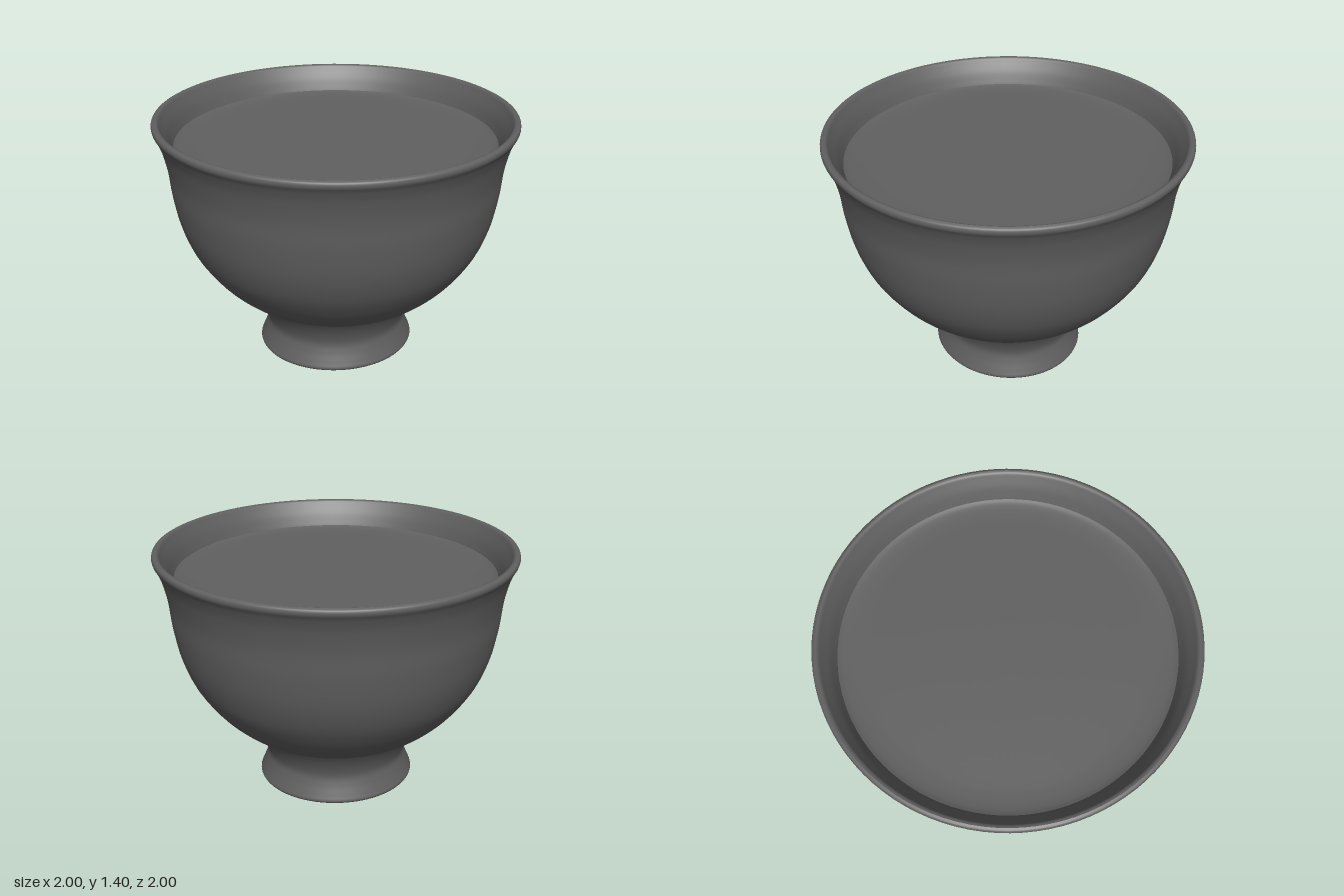
import * as THREE from 'three';

// Revolve a smooth curve through a few profile points.
function turned(name, points, material, steps = 60) {
  const curve = new THREE.SplineCurve(points.map(([r, y]) => new THREE.Vector2(r, y)));
  const mesh = new THREE.Mesh(new THREE.LatheGeometry(curve.getPoints(steps), 96), material);
  mesh.name = name;
  return mesh;
}

export function createModel() {
  const group = new THREE.Group();
  group.name = 'footedBowl';
  const clay = new THREE.MeshStandardMaterial({ color: 0x606060 });
  clay.name = 'dark grey clay';

  // Rounded outer wall with a flared lip
  const wall = turned('bowlWall', [
    [0.40, 0.30], [0.50, 0.345], [0.59, 0.40], [0.69, 0.49], [0.77, 0.59],
    [0.835, 0.70], [0.885, 0.84], [0.915, 1.0], [0.93, 1.15], [0.955, 1.27],
    [0.98, 1.34], [0.998, 1.375], [0.996, 1.398], [0.98, 1.408],
  ], clay, 90);

  // Inner lip running down to the shallow inside
  const lip = turned('innerLip', [
    [0.98, 1.408], [0.965, 1.402], [0.95, 1.38], [0.92, 1.33], [0.898, 1.28], [0.89, 1.26],
  ], clay, 24);

  // Shallow inside surface, nearly flat with a slightly raised edge
  const floor = turned('innerFloor', [
    [0.89, 1.26], [0.86, 1.25], [0.80, 1.243], [0.70, 1.24], [0.35, 1.24], [0, 1.24],
  ], clay, 30);

  // Waisted foot, slightly narrower front to back
  const foot = turned('foot', [
    [0.53, 0.37], [0.495, 0.34], [0.45, 0.275], [0.42, 0.21], [0.408, 0.155],
    [0.42, 0.105], [0.442, 0.05], [0.453, 0.022], [0.448, 0.008], [0.44, 0.004],
  ].reverse(), clay);
  foot.scale.z = 0.95;

  // Flat underside
  const base = new THREE.Mesh(new THREE.CircleGeometry(0.442, 96), clay);
  base.name = 'underside';
  base.rotation.x = Math.PI / 2;
  base.scale.y = 0.95;
  base.position.y = 0.004;

  group.add(wall, lip, floor, foot, base);
  return group;
}
